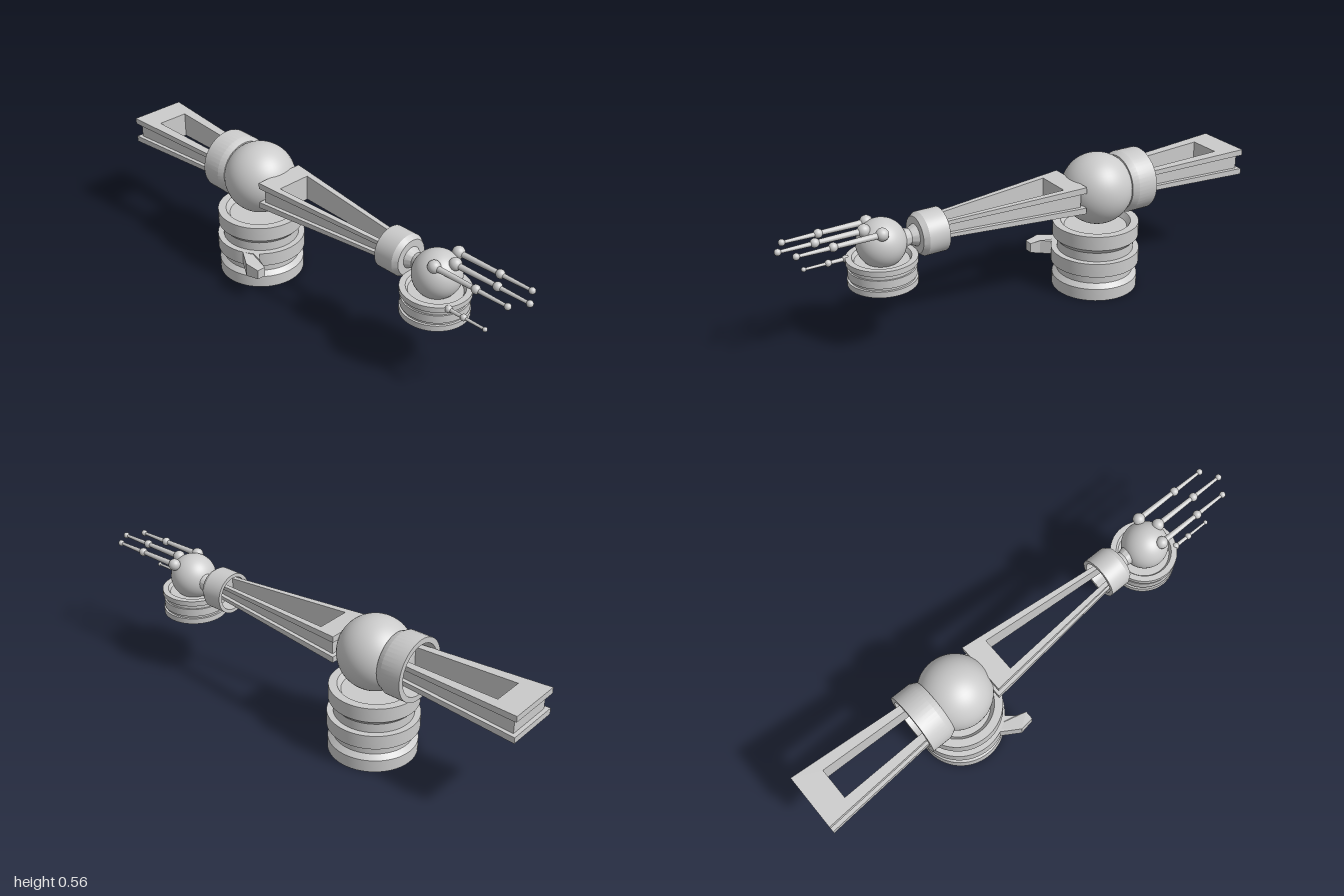
import * as THREE from 'three';
import { toCreasedNormals } from 'three/addons/utils/BufferGeometryUtils.js';

const material = new THREE.MeshStandardMaterial({ color: 0xcccccc });

function add(parent, name, geometry, x = 0, y = 0, z = 0) {
  const mesh = new THREE.Mesh(geometry, material);
  mesh.name = name;
  mesh.position.set(x, y, z);
  parent.add(mesh);
  return mesh;
}

// Turned part from [radius, height] pairs, with crisp edges between the steps
function turned(points, segments = 48) {
  const profile = points.map(([r, h]) => new THREE.Vector2(r, h));
  return toCreasedNormals(new THREE.LatheGeometry(profile, segments), 0.45);
}

const ball = (r, w = 48, h = 32) => new THREE.SphereGeometry(r, w, h);

// Trapezoid plate in x/z with a tapered slot; its height also tapers along x
function taperedPlate(b, low, high, inset) {
  const at = ([a, c], x) => a + (c - a) * (x - b.x0) / (b.x1 - b.x0);
  const quad = (x0, x1, widths, margin, path) => {
    const w0 = at(widths, x0) - margin, w1 = at(widths, x1) - margin;
    path.moveTo(x0, -w0);
    path.lineTo(x1, -w1);
    path.lineTo(x1, w1);
    path.lineTo(x0, w0);
    path.closePath();
    return path;
  };
  const shape = quad(b.x0 + inset, b.x1 - inset, b.width, inset, new THREE.Shape());
  shape.holes.push(quad(b.slot[0], b.slot[1], b.slotWidth, 0, new THREE.Path()));
  const g = new THREE.ExtrudeGeometry(shape, { depth: high - low, bevelEnabled: false });
  g.translate(0, 0, low);
  g.rotateX(-Math.PI / 2);
  const p = g.attributes.position;
  for (let i = 0; i < p.count; i++) p.setY(i, p.getY(i) * at(b.height, p.getX(i)));
  g.computeVertexNormals();
  return g;
}

// Slotted beam with two flanges and a recessed core
function beam(parent, name, b) {
  const group = new THREE.Group();
  group.name = name;
  group.position.set(0, 0.422, -0.012);
  add(group, 'upperFlange', taperedPlate(b, 0.55, 1, 0));
  add(group, 'core', taperedPlate(b, -0.55, 0.55, 0.016));
  add(group, 'lowerFlange', taperedPlate(b, -1, -0.55, 0));
  parent.add(group);
}

// Rod along x, from one radius to another
function rod(parent, name, x0, x1, r0, r1, y, z) {
  const g = new THREE.CylinderGeometry(r1, r0, x1 - x0, 12);
  g.rotateZ(-Math.PI / 2);
  add(parent, name, g, (x0 + x1) / 2, y, z);
}

export function createModel() {
  const model = new THREE.Group();
  model.name = 'roboticArm';

  // Hollow stepped shoulder base with a dished top
  add(model, 'shoulderBase', turned([
    [0.135, 0], [0.172, 0], [0.172, 0.05], [0.153, 0.068], [0.153, 0.106], [0.177, 0.106],
    [0.177, 0.163], [0.153, 0.163], [0.153, 0.2], [0.172, 0.22], [0.172, 0.278], [0.14, 0.278],
    [0.125, 0.255], [0, 0.255], [0, 0.24], [0.135, 0.24], [0.135, 0],
  ], 64), -0.343, 0, -0.015);

  // Angled bracket on the base, narrowing at its tip
  const outline = [[-0.3, 0.11], [-0.275, 0.145], [-0.2, 0.192], [-0.14, 0.184],
    [-0.14, 0.148], [-0.18, 0.137], [-0.225, 0.1]];
  const bracket = new THREE.ExtrudeGeometry(
    new THREE.Shape(outline.map(([x, z]) => new THREE.Vector2(x, -z))),
    { depth: 0.057, bevelEnabled: false });
  bracket.translate(0, 0, -0.0285);
  bracket.rotateX(-Math.PI / 2);
  const p = bracket.attributes.position;
  for (let i = 0; i < p.count; i++) if (p.getX(i) > -0.15) p.setY(i, p.getY(i) * 0.7);
  bracket.computeVertexNormals();
  add(model, 'baseBracket', bracket, 0, 0.1345, 0);

  // Central ball and the open collar around the rear beam
  add(model, 'centralBall', ball(0.143), -0.343, 0.415, -0.018);
  const rearCollar = turned([
    [0.103, -0.543], [0.125, -0.543], [0.125, -0.46], [0.113, -0.435], [0, -0.435],
    [0, -0.47], [0.103, -0.47], [0.103, -0.543],
  ]);
  rearCollar.rotateZ(-Math.PI / 2);
  add(model, 'rearCollar', rearCollar, 0, 0.418, -0.02);

  // Rear and front beams
  beam(model, 'rearBeam', {
    x0: -1, x1: -0.455, width: [0.115, 0.076], height: [0.054, 0.04],
    slot: [-0.895, -0.48], slotWidth: [0.068, 0.049],
  });
  beam(model, 'frontBeam', {
    x0: -0.225, x1: 0.43, width: [0.105, 0.041], height: [0.055, 0.03],
    slot: [-0.14, 0.4], slotWidth: [0.078, 0.024],
  });

  // Wrist collar, open at the back, with a tapered neck to the hand
  const wrist = turned([
    [0.068, 0.362], [0.083, 0.362], [0.083, 0.445], [0.07, 0.465], [0.042, 0.465],
    [0.03, 0.49], [0.038, 0.52], [0, 0.52], [0, 0.43], [0.068, 0.43], [0.068, 0.362],
  ]);
  wrist.rotateZ(-Math.PI / 2);
  add(model, 'wristCollar', wrist, 0, 0.414, -0.021);

  // Hand ball in its hollow grooved cup
  add(model, 'handBall', ball(0.092), 0.595, 0.413, -0.012);
  add(model, 'handCup', turned([
    [0.108, 0.257], [0.129, 0.257], [0.129, 0.28], [0.12, 0.28], [0.12, 0.29], [0.126, 0.29],
    [0.126, 0.322], [0.12, 0.322], [0.12, 0.335], [0.131, 0.339], [0.131, 0.36], [0.108, 0.36],
    [0.1, 0.345], [0, 0.345], [0, 0.328], [0.108, 0.328], [0.108, 0.257],
  ]), 0.595, 0, -0.01);

  // Three fingers, the middle one set further forward
  const fingers = new THREE.Group();
  fingers.name = 'fingers';
  [[0.624, 0.043], [0.664, -0.022], [0.624, -0.087]].forEach(([x, z]) => {
    const finger = new THREE.Group();
    finger.name = 'finger';
    add(finger, 'knuckle', ball(0.024, 20, 14), x, 0.481, z);
    rod(finger, 'lowerRod', x, x + 0.182, 0.012, 0.009, 0.48, z);
    add(finger, 'joint', ball(0.017, 20, 14), x + 0.184, 0.48, z);
    rod(finger, 'upperRod', x + 0.184, x + 0.316, 0.009, 0.006, 0.479, z);
    add(finger, 'tip', ball(0.0125, 16, 12), x + 0.318, 0.479, z);
    fingers.add(finger);
  });
  model.add(fingers);

  // Thumb low on the cup
  const thumb = new THREE.Group();
  thumb.name = 'thumb';
  add(thumb, 'knuckle', ball(0.014, 16, 12), 0.708, 0.351, 0.053);
  rod(thumb, 'lowerRod', 0.7, 0.775, 0.008, 0.007, 0.351, 0.053);
  add(thumb, 'joint', ball(0.013, 16, 12), 0.775, 0.351, 0.053);
  rod(thumb, 'upperRod', 0.775, 0.868, 0.006, 0.005, 0.351, 0.053);
  add(thumb, 'tip', ball(0.009, 16, 12), 0.868, 0.351, 0.053);
  model.add(thumb);

  return model;
}
